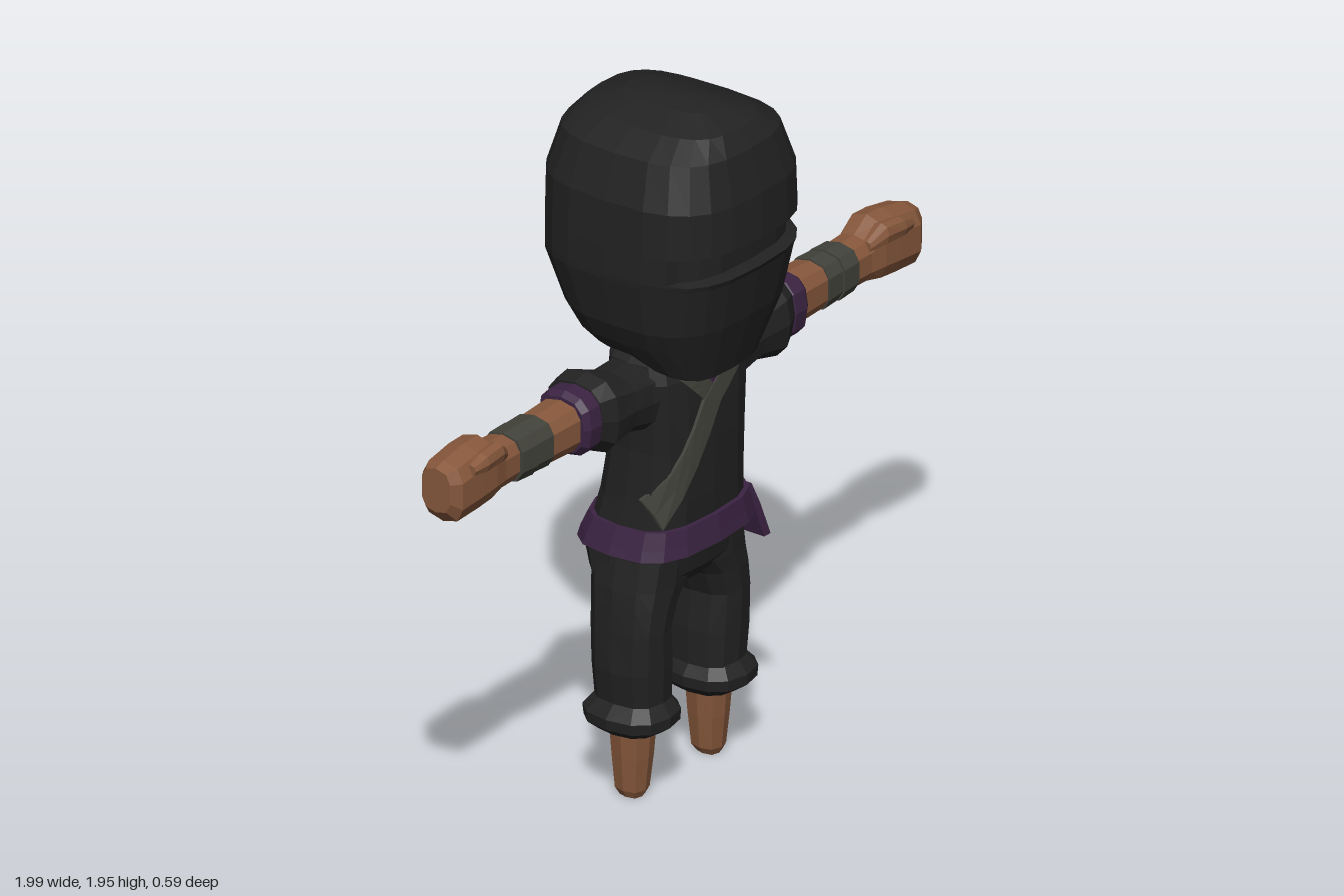
import * as THREE from 'three';

const mat = (name, color) => Object.assign(new THREE.MeshStandardMaterial({ color }), { name });
const V = (x, y, z) => new THREE.Vector3(x, y, z);

// Superellipse ring round an upright axis: [y, x0, x1, z0, z1]
function ringY([y, x0, x1, z0, z1], n, e) {
  return ring(n, e, (c, s) => V((x0 + x1) / 2 + c * (x1 - x0) / 2, y, (z0 + z1) / 2 + s * (z1 - z0) / 2));
}
// Superellipse ring round a sideways axis: [x, y0, y1, z0, z1]
function ringX([x, y0, y1, z0, z1], n, e) {
  return ring(n, e, (c, s) => V(x, (y0 + y1) / 2 + c * (y1 - y0) / 2, (z0 + z1) / 2 + s * (z1 - z0) / 2));
}
function ring(n, e, place) {
  const bend = v => Math.abs(v) < 1e-6 ? 0 : Math.sign(v) * Math.abs(v) ** (2 / e);
  return Array.from({ length: n }, (_, i) => {
    const a = i / n * Math.PI * 2;
    return place(bend(Math.cos(a)), bend(Math.sin(a)));
  });
}

// Faceted closed skin over a row of rings, always facing outwards
function loft(rings, side = 1) {
  const tris = [], n = rings[0].length;
  for (let r = 0; r + 1 < rings.length; r++) {
    for (let i = 0; i < n; i++) {
      const j = (i + 1) % n, A = rings[r], B = rings[r + 1];
      tris.push([A[i], B[i], B[j]], [A[i], B[j], A[j]]);
    }
  }
  const mid = R => R.reduce((s, p) => s.add(p), V(0, 0, 0)).divideScalar(n);
  const first = rings[0], last = rings[rings.length - 1], m0 = mid(first), m1 = mid(last);
  for (let i = 0; i < n; i++) {
    const j = (i + 1) % n;
    tris.push([m0, first[i], first[j]], [m1, last[j], last[i]]);
  }
  const volume = tris.reduce((s, [a, b, c]) => s + a.dot(b.clone().cross(c)), 0) * side;
  const pos = [];
  for (const [a, b, c] of tris) {
    for (const p of volume < 0 ? [a, c, b] : [a, b, c]) pos.push(p.x * side, p.y, p.z);
  }
  const g = new THREE.BufferGeometry();
  g.setAttribute('position', new THREE.Float32BufferAttribute(pos, 3));
  g.computeVertexNormals();
  return g;
}

// Torso sections, also used to lay the robe trim on the chest
const TORSO = [
  [0.74, -0.215, 0.215, -0.165, 0.135], [0.85, -0.2, 0.2, -0.135, 0.14], [1.0, -0.195, 0.195, -0.108, 0.145],
  [1.1, -0.2, 0.2, -0.1, 0.145], [1.2, -0.21, 0.21, -0.1, 0.14], [1.25, -0.2, 0.2, -0.1, 0.125], [1.3, -0.12, 0.12, -0.08, 0.08],
];
function chestZ(x, y) {
  let k = 0;
  while (k < TORSO.length - 2 && y > TORSO[k + 1][0]) k++;
  const t = (y - TORSO[k][0]) / (TORSO[k + 1][0] - TORSO[k][0]);
  const [, , a, z0, z1] = TORSO[k].map((v, i) => THREE.MathUtils.lerp(v, TORSO[k + 1][i], t));
  const u = Math.min(Math.abs(x / a), 0.99);
  return (z0 + z1) / 2 + (z1 - z0) / 2 * (1 - u ** 3) ** (1 / 3);
}
// Thin trim between pairs of edge points [xa, ya, xb, yb], following the chest
function trim(pairs, lift) {
  const rows = [];
  for (let k = 0; k + 1 < pairs.length; k++) {
    for (let s = k ? 1 : 0; s <= 4; s++) rows.push(pairs[k].map((v, i) => THREE.MathUtils.lerp(v, pairs[k + 1][i], s / 4)));
  }
  return loft(rows.map(([xa, ya, xb, yb]) => {
    const pt = (t, d) => {
      const x = xa + (xb - xa) * t, y = ya + (yb - ya) * t;
      return V(x, y, chestZ(x, y) + d);
    };
    return [pt(0, lift), pt(0.5, lift), pt(1, lift), pt(1, lift - 0.009), pt(0.5, lift - 0.009), pt(0, lift - 0.009)];
  }));
}

export function createModel() {
  const model = new THREE.Group();
  const cloth = mat('black cloth', 0x222222), purple = mat('purple cloth', 0x3b2342);
  const skin = mat('skin', 0x87583c), grey = mat('grey cloth', 0x42433b);
  const add = (name, geo, m, parent = model) => {
    const mesh = new THREE.Mesh(geo, m);
    mesh.name = name;
    parent.add(mesh);
    return mesh;
  };
  const upright = (rows, n = 12, e = 3, side = 1) => loft(rows.map(r => ringY(r, n, e)), side);
  const sideways = (rows, n = 12, e = 2.6, side = 1) => loft(rows.map(r => ringX(r, n, e)), side);

  // Hood with a recessed eye slit and a hem that dips in front
  const hood = [
    [1.27, 0.19, -0.17, 0.2], [1.32, 0.235, -0.205, 0.235], [1.38, 0.262, -0.235, 0.255], [1.52, 0.287, -0.293, 0.285],
    [1.535, 0.288, -0.294, 0.292], [1.542, 0.288, -0.294, 0.292], [1.608, 0.287, -0.295, 0.295], [1.615, 0.287, -0.295, 0.295],
    [1.74, 0.281, -0.295, 0.293], [1.86, 0.24, -0.262, 0.26], [1.905, 0.16, -0.225, 0.222], [1.938, 0.075, -0.13, 0.14], [1.95, 0.02, -0.04, 0.05],
  ].map(([y, x, z0, z1]) => ringY([y, -x, x, z0, z1], 24, 3));
  hood[0].forEach(p => { if (p.z > 0.03) p.y -= 0.055 * Math.min(1, p.z / 0.19); });
  [5, 6].forEach(r => hood[r].forEach(p => { if (p.z > 0.2) p.z -= 0.035; }));
  add('hood', loft(hood), cloth);
  // Pointed cloth end at the nape
  add('hoodTail', loft([
    ringY([1.4, -0.11, 0.11, -0.235, -0.1], 8, 2.4), ringY([1.29, -0.075, 0.075, -0.205, -0.1], 8, 2.4),
    ringY([1.18, -0.012, 0.012, -0.165, -0.145], 8, 2.4),
  ]), cloth);

  // Robe, crossing trim and collar
  add('torso', upright(TORSO, 16), cloth);
  add('robeSash', trim([[0.08, 1.235, 0.165, 1.225], [-0.055, 1.13, 0.01, 1.105], [-0.2, 0.87, -0.175, 0.79]], 0.009), grey);
  add('robeLapel', trim([[-0.15, 1.225, -0.08, 1.235], [-0.055, 1.13, -0.005, 1.15]], 0.007), grey);
  add('collar', trim([[-0.085, 1.245, 0.085, 1.245], [-0.006, 1.15, 0.006, 1.15]], 0.005), purple);

  // Belt with a hanging end on the left hip
  add('belt', upright([[0.71, -0.245, 0.245, -0.192, 0.162], [0.74, -0.235, 0.235, -0.185, 0.157], [0.785, -0.22, 0.22, -0.165, 0.15]], 16), purple);
  add('beltEnd', loft([[0.765, 0.2, 0.228, 0.015, 0.085], [0.7, 0.225, 0.253, 0.015, 0.095], [0.61, 0.252, 0.278, 0.025, 0.108]]
    .map(([y, x0, x1, z0, z1]) => [V(x0, y, z0), V(x1, y, z0), V(x1, y, z1), V(x0, y, z1)])), purple);

  // Hips, full at the back
  add('hips', upright([
    [0.75, -0.21, 0.21, -0.165, 0.125], [0.7, -0.22, 0.22, -0.18, 0.12], [0.63, -0.225, 0.225, -0.155, 0.11], [0.59, -0.16, 0.16, -0.11, 0.08],
  ], 16), cloth);

  for (const s of [1, -1]) {
    const side = s > 0 ? 'left' : 'right';
    const leg = new THREE.Group(), arm = new THREE.Group();
    leg.name = side + 'Leg';
    arm.name = side + 'Arm';
    model.add(leg, arm);

    // Trouser leg, rolled cuff and tapered foot
    add('trouserLeg', upright([
      [0.69, 0, 0.22, -0.13, 0.11], [0.61, 0.01, 0.237, -0.125, 0.107], [0.56, 0.055, 0.242, -0.115, 0.105], [0.49, 0.085, 0.247, -0.108, 0.103],
      [0.38, 0.073, 0.25, -0.105, 0.1], [0.26, 0.075, 0.237, -0.1, 0.095],
    ], 12, 2.6, s), cloth, leg);
    add('trouserCuff', upright([
      [0.2, 0.08, 0.24, -0.095, 0.085], [0.225, 0.055, 0.27, -0.125, 0.12], [0.255, 0.052, 0.273, -0.128, 0.122], [0.29, 0.08, 0.238, -0.1, 0.095],
    ], 12, 2.5, s), cloth, leg);
    add('foot', upright([
      [0.005, 0.135, 0.19, -0.032, 0.03], [0.025, 0.122, 0.2, -0.045, 0.04], [0.12, 0.112, 0.208, -0.053, 0.05], [0.23, 0.104, 0.216, -0.06, 0.058],
    ], 8, 2.8, s), skin, leg);

    // Flared sleeve and purple band
    add('sleeve', sideways([
      [0.1, 1.05, 1.26, -0.09, 0.11], [0.2, 1.065, 1.25, -0.085, 0.1], [0.27, 1.085, 1.25, -0.08, 0.1],
      [0.36, 1.06, 1.285, -0.105, 0.11], [0.405, 1.09, 1.27, -0.095, 0.09],
    ], 12, 2.6, s), cloth, arm);
    add('sleeveBand', sideways([
      [0.395, 1.1, 1.255, -0.07, 0.08], [0.41, 1.087, 1.268, -0.08, 0.092], [0.455, 1.087, 1.268, -0.08, 0.092], [0.472, 1.1, 1.255, -0.068, 0.08],
    ], 12, 2.6, s), purple, arm);

    // Forearm and closed fist in one skin
    add('forearmAndFist', sideways([
      [0.4, 1.105, 1.25, -0.065, 0.075], [0.58, 1.108, 1.24, -0.06, 0.065], [0.71, 1.113, 1.237, -0.058, 0.058], [0.77, 1.112, 1.24, -0.06, 0.06],
      [0.82, 1.1, 1.28, -0.065, 0.07], [0.88, 1.095, 1.277, -0.067, 0.072], [0.965, 1.09, 1.262, -0.064, 0.07], [0.995, 1.125, 1.25, -0.045, 0.05],
    ], 10, 2.8, s), skin, arm);
    add('thumb', sideways([
      [0.765, 1.205, 1.235, 0.03, 0.06], [0.81, 1.215, 1.275, 0.03, 0.084], [0.88, 1.215, 1.268, 0.03, 0.088], [0.925, 1.22, 1.25, 0.04, 0.078],
    ], 8, 2.6, s), skin, arm);
    // Wrist wraps, two turns
    for (const [a, b] of [[0.58, 0.642], [0.646, 0.71]]) {
      add('wristWrap', sideways([[a, 1.104, 1.244, -0.064, 0.069], [b, 1.107, 1.242, -0.063, 0.066]], 10, 2.8, s), grey, arm);
    }
  }
  return model;
}
